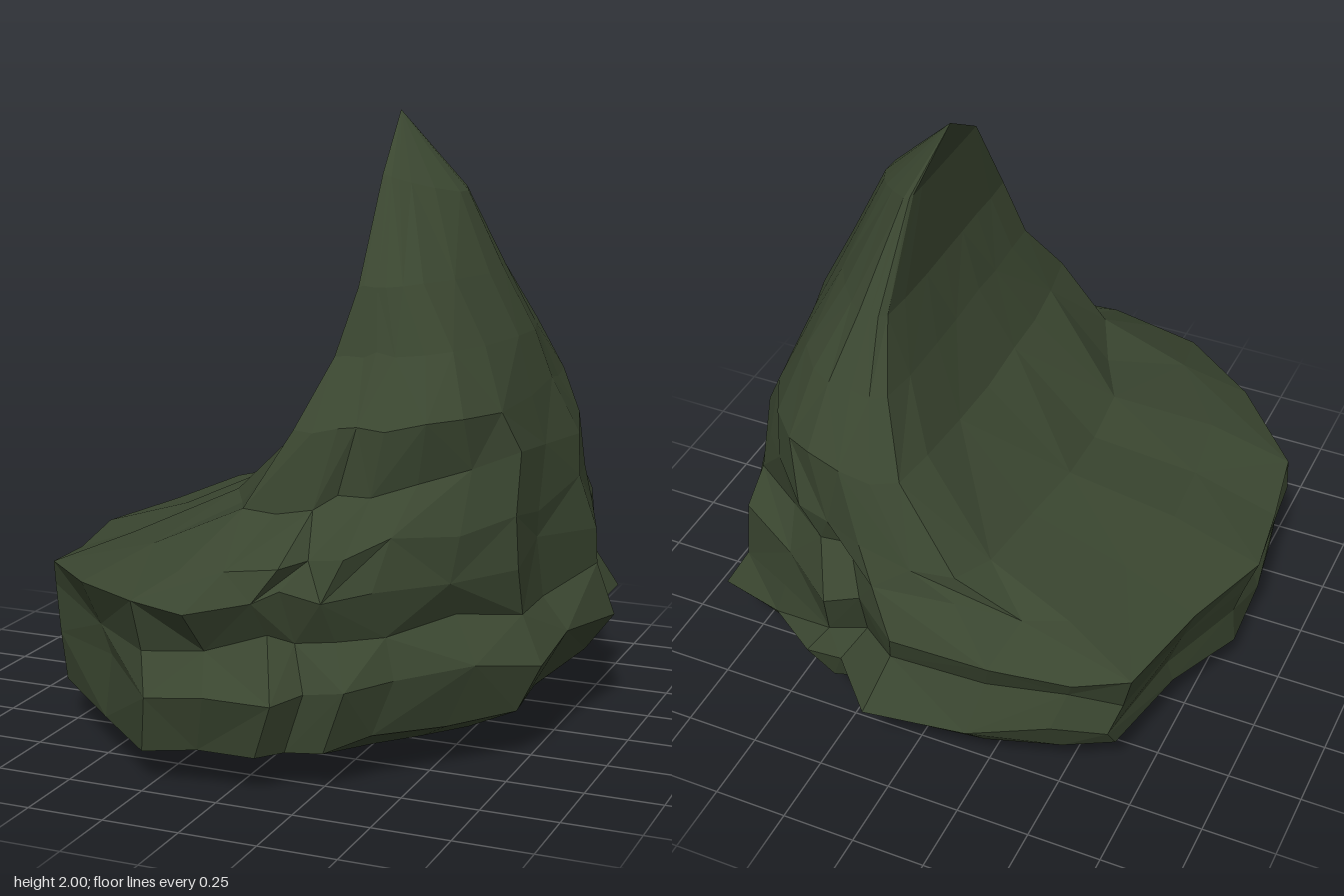
import * as THREE from 'three';

// Plan outline of the boulder: [x, z], left side first, then round the front
const BASE = [
  [-0.91, -0.07], [-0.88, 0.22], [-0.85, 0.5], [-0.55, 0.76], [-0.28, 0.98], [-0.07, 0.98],
  [0.13, 0.93], [0.2, 0.85], [0.33, 0.83], [0.45, 0.7], [0.64, 0.5], [0.82, 0.32],
  [0.82, 0.1], [0.91, -0.27], [0.8, -0.5], [0.77, -0.65], [0.55, -0.75], [0.34, -0.88],
  [0.22, -0.85], [0.06, -0.98], [-0.28, -0.92], [-0.55, -0.85], [-0.73, -0.78], [-0.8, -0.4],
].map(([x, z]) => [(x + 0.91) / 1.82, z / 0.98]);

// Plan outline of the peak, flat on its left: [0 to 1 across, -1 to 1 deep]
const PEAK = [
  [0, -0.07], [0, 0.25], [0, 0.5], [0, 0.75], [0.02, 1], [0.12, 1],
  [0.25, 1], [0.35, 1], [0.5, 1], [0.7, 0.95], [0.85, 0.85], [0.95, 0.6],
  [1, 0.2], [1, -0.1], [0.95, -0.35], [0.9, -0.55], [0.8, -0.75], [0.65, -0.9],
  [0.5, -1], [0.3, -1], [0.15, -1], [0.03, -0.95], [0, -0.7], [0, -0.35],
];

// Tilted rings, bottom to top:
// left x, right x, left y, right y, back z, front z, front drop, peak blend, pinch, roughness
const RINGS = [
  [0, 0, 0, 0, 0.16, 0.16, 0, 0, 0, 0],
  [-0.55, 0.6, 0.08, 0.07, -0.6, 0.7, 0.01, 0, 0, 0.01],
  [-0.86, 0.8, 0.16, 0.19, -0.92, 0.96, 0.05, 0, 0, 0.02],
  [-0.86, 0.91, 0.3, 0.35, -0.98, 0.98, 0, 0, 0, 0.03],
  [-0.89, 0.84, 0.42, 0.48, -0.92, 0.9, 0, 0, 0, 0.035],
  [-0.91, 0.82, 0.53, 0.66, -0.95, 0.98, 0, 0, 0, 0.03],
  [-0.62, 0.79, 0.64, 0.8, -0.85, 0.88, 0, 0.1, 0, 0.03],
  [-0.27, 0.74, 0.77, 0.97, -0.84, 0.65, 0, 0.45, 0, 0.025],
  [0.03, 0.68, 1.05, 1.13, -0.77, 0.59, 0, 0.85, 0, 0.015],
  [0.14, 0.61, 1.28, 1.31, -0.63, 0.43, 0, 1, 0.1, 0.01],
  [0.2, 0.52, 1.49, 1.5, -0.5, 0.37, 0, 1, 0.4, 0.005],
  [0.2, 0.4, 1.82, 1.75, -0.3, 0.16, 0, 1, 0.7, 0],
  [0.15, 0.15, 2, 2, -0.13, -0.13, 0, 1, 0, 0],
];

function seeded(seed) {
  let s = seed;
  return () => {
    s = (s * 16807) % 2147483647;
    return s / 2147483647 * 2 - 1;
  };
}

// Fit the blended outline into one ring, sharpening the right edge by the pinch
function makeRing([xL, xR, yL, yR, zB, zF, drop, blend, pinch, rough], rand) {
  const { lerp } = THREE.MathUtils;
  return BASE.map(([bu, bv], i) => {
    const v = lerp(bv, PEAK[i][1], blend);
    const u = lerp(bu, PEAK[i][0], blend) * (1 - pinch * v * v);
    const scale = 1 + (rand() - 0.4) * rough;
    return new THREE.Vector3(
      lerp(xL, xR, u) * scale,
      lerp(yL, yR, u) - drop * v + rand() * rough,
      lerp(zB, zF, (v + 1) / 2) * scale,
    );
  });
}

// Skin the rings with triangles, alternating the diagonals
function loftGeometry(rings) {
  const pos = [];
  const tri = (a, b, c) => {
    const area = b.clone().sub(a).cross(c.clone().sub(a)).length();
    if (area > 1e-7) for (const p of [a, b, c]) pos.push(p.x, p.y, p.z);
  };
  for (let k = 0; k < rings.length - 1; k++) {
    const n = rings[k].length;
    for (let i = 0; i < n; i++) {
      const j = (i + 1) % n;
      const a = rings[k][i], b = rings[k][j], c = rings[k + 1][j], d = rings[k + 1][i];
      if ((i + k) % 2) {
        tri(a, b, c);
        tri(a, c, d);
      } else {
        tri(a, b, d);
        tri(b, c, d);
      }
    }
  }
  const geometry = new THREE.BufferGeometry();
  geometry.setAttribute('position', new THREE.Float32BufferAttribute(pos, 3));
  geometry.computeVertexNormals();
  return geometry;
}

export function createModel() {
  const group = new THREE.Group();
  group.name = 'hornedBoulder';
  const stone = new THREE.MeshStandardMaterial({ color: 0x3a4630, flatShading: true });
  stone.name = 'mossy stone';

  // Boulder with a sloping shelf on one side and a leaning peak on the other
  const rand = seeded(4711);
  const boulder = new THREE.Mesh(loftGeometry(RINGS.map((r) => makeRing(r, rand))), stone);
  boulder.name = 'boulder';
  group.add(boulder);
  return group;
}
